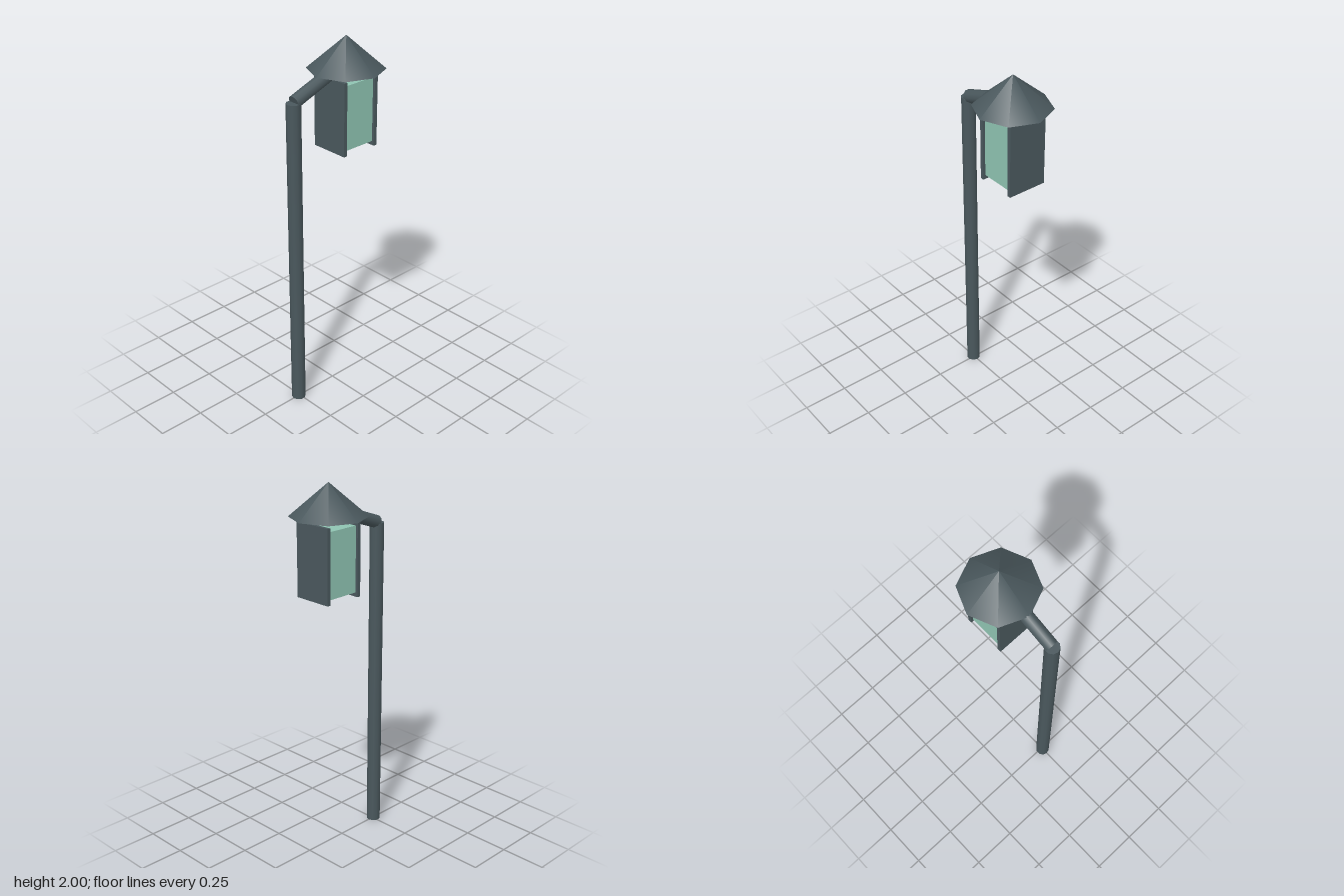
import * as THREE from 'three';

export function createModel() {
  const group = new THREE.Group();
  const darkMetal = new THREE.MeshStandardMaterial({ color: 0x4a585d });
  darkMetal.name = 'dark metal';
  const paleGlass = new THREE.MeshStandardMaterial({ color: 0x8fc4b2 });
  paleGlass.name = 'pale green glass';

  const add = (name, geometry, material, x, y, z = 0) => {
    const mesh = new THREE.Mesh(geometry, material);
    mesh.name = name;
    mesh.position.set(x, y, z);
    group.add(mesh);
    return mesh;
  };

  const lampX = 0.093;

  // Ten-sided post with a corner towards each side
  const post = new THREE.CylinderGeometry(0.038, 0.038, 1.74, 10).rotateY(Math.PI / 2);
  add('post', post, darkMetal, -0.257, 0.87);

  // Sloping arm from the post top into the roof
  const start = new THREE.Vector2(-0.253, 1.743);
  const length = 0.36;
  const slope = THREE.MathUtils.degToRad(20);
  const armGeometry = new THREE.CylinderGeometry(0.035, 0.035, length, 10).translate(0, length / 2, 0);
  const arm = add('arm', armGeometry, darkMetal, start.x, start.y);
  arm.rotation.z = slope - Math.PI / 2;

  // Eight-sided roof
  add('roof', new THREE.ConeGeometry(0.2, 0.17, 8), darkMetal, lampX, 1.915);

  // Glass block held between two side plates
  add('glass', new THREE.BoxGeometry(0.19, 0.345, 0.19), paleGlass, lampX, 1.611);
  for (const side of [-1, 1]) {
    add(side > 0 ? 'leftPlate' : 'rightPlate', new THREE.BoxGeometry(0.02, 0.39, 0.216),
      darkMetal, lampX + side * 0.105, 1.611);
  }

  return group;
}
